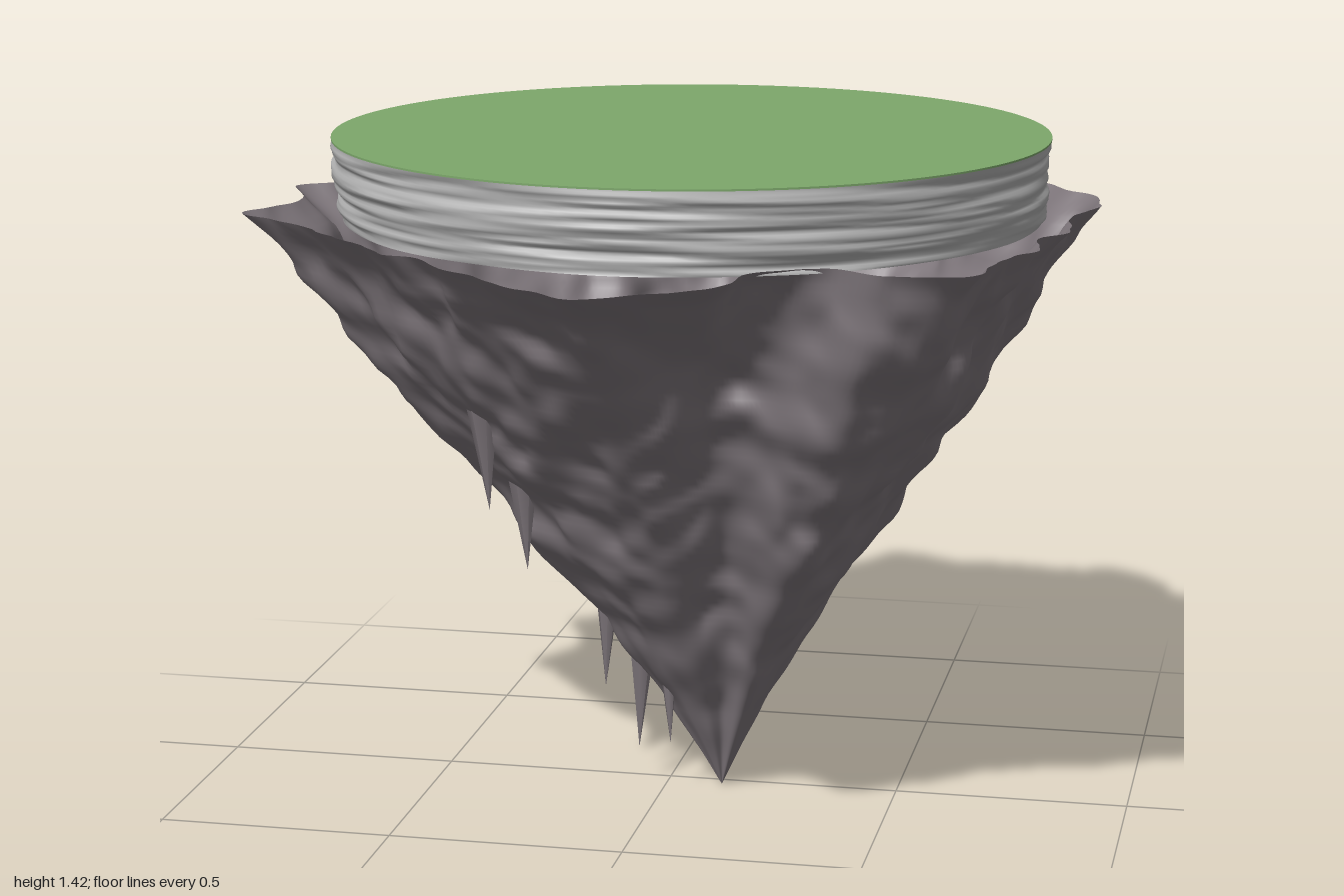
import * as THREE from 'three';

const RIM_Y = 1.26, TOP_Y = 1.42;
const APEX = new THREE.Vector3(0.12, 0, 0.03);
const DISC = { x: 0.035, z: -0.045, r: 0.76 };

// Rock rim seen from above: x, z pairs, running from the front round by +x
const RIM = [
  0.03, 1.0, 0.13, 0.93, 0.26, 0.82, 0.29, 0.7, 0.36, 0.64, 0.44, 0.6, 0.57, 0.66, 0.7, 0.63,
  0.75, 0.52, 0.77, 0.4, 0.82, 0.32, 0.8, 0.2, 0.86, 0.08, 0.84, -0.05, 0.87, -0.2, 0.88, -0.36,
  0.8, -0.43, 0.72, -0.55, 0.6, -0.66, 0.57, -0.81, 0.46, -0.92, 0.33, -0.92, 0.12, -0.84, 0, -0.92,
  -0.13, -1.0, -0.22, -0.92, -0.3, -0.8, -0.33, -0.71, -0.45, -0.71, -0.62, -0.6, -0.66, -0.48,
  -0.8, -0.33, -0.82, -0.22, -0.88, -0.15, -0.82, -0.04, -0.82, 0.08, -0.88, 0.22, -0.75, 0.3,
  -0.6, 0.45, -0.47, 0.61, -0.38, 0.65, -0.3, 0.75, -0.2, 0.83, -0.1, 0.93,
];

// Lower down the front ledge is gone, leaving a gully beside a ridge
const LOW = [
  -0.02, 0.75, 0.06, 0.7, 0.14, 0.63, 0.22, 0.58, 0.33, 0.6, 0.46, 0.67, 0.59, 0.72, 0.7, 0.65,
  ...RIM.slice(16, -8),
  -0.39, 0.66, -0.31, 0.69, -0.22, 0.72, -0.12, 0.75,
];

// Width of the rock at each height, as a share of the rim
const TAPER = [[0, 0], [0.2, 0.125], [0.4, 0.28], [0.6, 0.455], [0.8, 0.62], [0.9, 0.72],
  [1.0, 0.795], [1.1, 0.865], [1.2, 0.94], [RIM_Y, 1]];

function taper(y) {
  for (let i = 1; i < TAPER.length; i++) {
    const [y0, f0] = TAPER[i - 1], [y1, f1] = TAPER[i];
    if (y <= y1) return f0 + (f1 - f0) * (y - y0) / (y1 - y0);
  }
  return 1;
}

// Smooth seeded noise in -1..1
function hash(x, y, z) {
  const s = Math.sin(x * 127.1 + y * 311.7 + z * 74.7) * 43758.5453;
  return (s - Math.floor(s)) * 2 - 1;
}
function noise(x, y, z) {
  const cell = [x, y, z].map(Math.floor);
  const w = [x, y, z].map((v, i) => { const f = v - cell[i]; return f * f * (3 - 2 * f); });
  let sum = 0;
  for (let c = 0; c < 8; c++) {
    const b = [c & 1, (c >> 1) & 1, c >> 2];
    const k = b.reduce((p, on, i) => p * (on ? w[i] : 1 - w[i]), 1);
    sum += k * hash(cell[0] + b[0], cell[1] + b[1], cell[2] + b[2]);
  }
  return sum;
}

// Closed rings stacked from bottom to top; at(u, v) gives each point
function ringSurface(around, rows, at) {
  const pos = [], index = [];
  for (let j = 0; j <= rows; j++) {
    for (let i = 0; i < around; i++) {
      pos.push(...at(i / around, j / rows).toArray());
      if (j === rows) continue;
      const a = j * around + i, b = j * around + (i + 1) % around;
      index.push(a, b, a + around, b, b + around, a + around);
    }
  }
  const g = new THREE.BufferGeometry();
  g.setAttribute('position', new THREE.Float32BufferAttribute(pos, 3));
  g.setIndex(index);
  g.computeVertexNormals();
  return g;
}

// Evenly stepped loop through an outline
function outline(pairs, around) {
  const points = [];
  for (let i = 0; i < pairs.length; i += 2) points.push(new THREE.Vector3(pairs[i], 0, pairs[i + 1]));
  const curve = new THREE.CatmullRomCurve3(points, true, 'catmullrom', 0.5);
  return Array.from({ length: around }, (_, i) => curve.getPoint(i / around));
}

function rockGeometry() {
  const around = 320;
  const rim = outline(RIM, around), low = outline(LOW, around);
  // Softer version of the lower outline
  const soft = low.map((_, i) => {
    const p = new THREE.Vector3();
    for (let k = -6; k <= 6; k++) p.add(low[(i + k + around) % around]);
    return p.divideScalar(13);
  });
  return ringSurface(around, 76, (u, v) => {
    const i = Math.round(u * around), y = v * RIM_Y;
    const p = soft[i].clone().lerp(rim[i], v ** 6).sub(APEX);
    const out = p.clone().normalize();
    p.multiplyScalar(taper(y)).add(APEX);
    p.y = y;
    // Broad bumps fade at the rim, fine furrows run through it
    const bump = 0.025 * noise(p.x * 8, y * 9, p.z * 8) * Math.min(1, (1 - v) * 8)
      + 0.016 * noise(p.x * 17, y * 16, p.z * 17);
    return p.addScaledVector(out, bump * Math.min(1, v * 2.2));
  });
}

// Layered cliff band with uneven horizontal ledges
function cliffGeometry() {
  return ringSurface(128, 32, (u, v) => {
    const a = u * Math.PI * 2, s = Math.sin(a), c = Math.cos(a);
    const ledge = 0.009 * noise(s * 2 + 7, v * 12, c * 2) + 0.005 * noise(s * 4, v * 26, c * 4);
    const r = DISC.r - 0.014 * (1 - v) + ledge * Math.min(1, (1 - v) * 8);
    return new THREE.Vector3(DISC.x + r * s, RIM_Y - 0.01 + (TOP_Y - RIM_Y + 0.01) * v, DISC.z + r * c);
  });
}

// Hanging spikes: root, tip, root radius
const SPIKES = [
  [[-0.32, 0.97, 0.38], [-0.31, 0.68, 0.36], 0.045],
  [[-0.28, 0.8, 0.21], [-0.27, 0.51, 0.2], 0.045],
  [[-0.06, 0.58, -0.2], [-0.09, 0.27, -0.28], 0.035],
  [[-0.12, 0.55, 0.08], [-0.13, 0.22, 0.07], 0.04],
  [[-0.05, 0.45, 0.05], [-0.06, 0.08, 0.05], 0.045],
  [[0.01, 0.38, 0.09], [0.02, 0.11, 0.1], 0.03],
  [[0.05, 0.85, -0.45], [0.05, 0.64, -0.47], 0.03],
  [[0.1, 0.66, -0.31], [0.1, 0.47, -0.33], 0.02],
  [[0.55, 0.88, -0.14], [0.56, 0.74, -0.15], 0.02],
];

function spikeGeometry(root, tip, radius) {
  const a = new THREE.Vector3(...root), b = new THREE.Vector3(...tip);
  const dir = b.clone().sub(a);
  const g = new THREE.ConeGeometry(radius, dir.length(), 7, 1);
  g.applyQuaternion(new THREE.Quaternion().setFromUnitVectors(new THREE.Vector3(0, 1, 0), dir.clone().normalize()));
  const mid = a.add(b).multiplyScalar(0.5);
  return g.translate(mid.x, mid.y, mid.z);
}

export function createModel() {
  const group = new THREE.Group();
  const material = (name, color, side = THREE.FrontSide) => {
    const m = new THREE.MeshStandardMaterial({ color, side });
    m.name = name;
    return m;
  };
  const rock = material('dark rock', 0x7f777c, THREE.DoubleSide);
  const cliff = material('pale cliff', 0xb2b2b2);
  const grass = material('grass', 0x7da86b);

  const add = (name, geometry, mat, parent = group) => {
    const mesh = new THREE.Mesh(geometry, mat);
    mesh.name = name;
    parent.add(mesh);
    return mesh;
  };

  // Hollow rock, open under the disc
  add('rockBase', rockGeometry(), rock);

  const spikes = new THREE.Group();
  spikes.name = 'stalactites';
  group.add(spikes);
  SPIKES.forEach((s, i) => add('stalactite' + (i + 1), spikeGeometry(...s), rock, spikes));

  // Disc of land: cliff band, underside and grass
  add('cliffBand', cliffGeometry(), cliff);
  const under = add('cliffUnderside', new THREE.CircleGeometry(DISC.r - 0.016, 96), cliff);
  under.rotation.x = Math.PI / 2;
  under.position.set(DISC.x, RIM_Y - 0.008, DISC.z);
  const top = add('grassTop', new THREE.CylinderGeometry(DISC.r + 0.001, DISC.r + 0.001, 0.004, 128), grass);
  top.position.set(DISC.x, TOP_Y + 0.001, DISC.z);

  return group;
}
